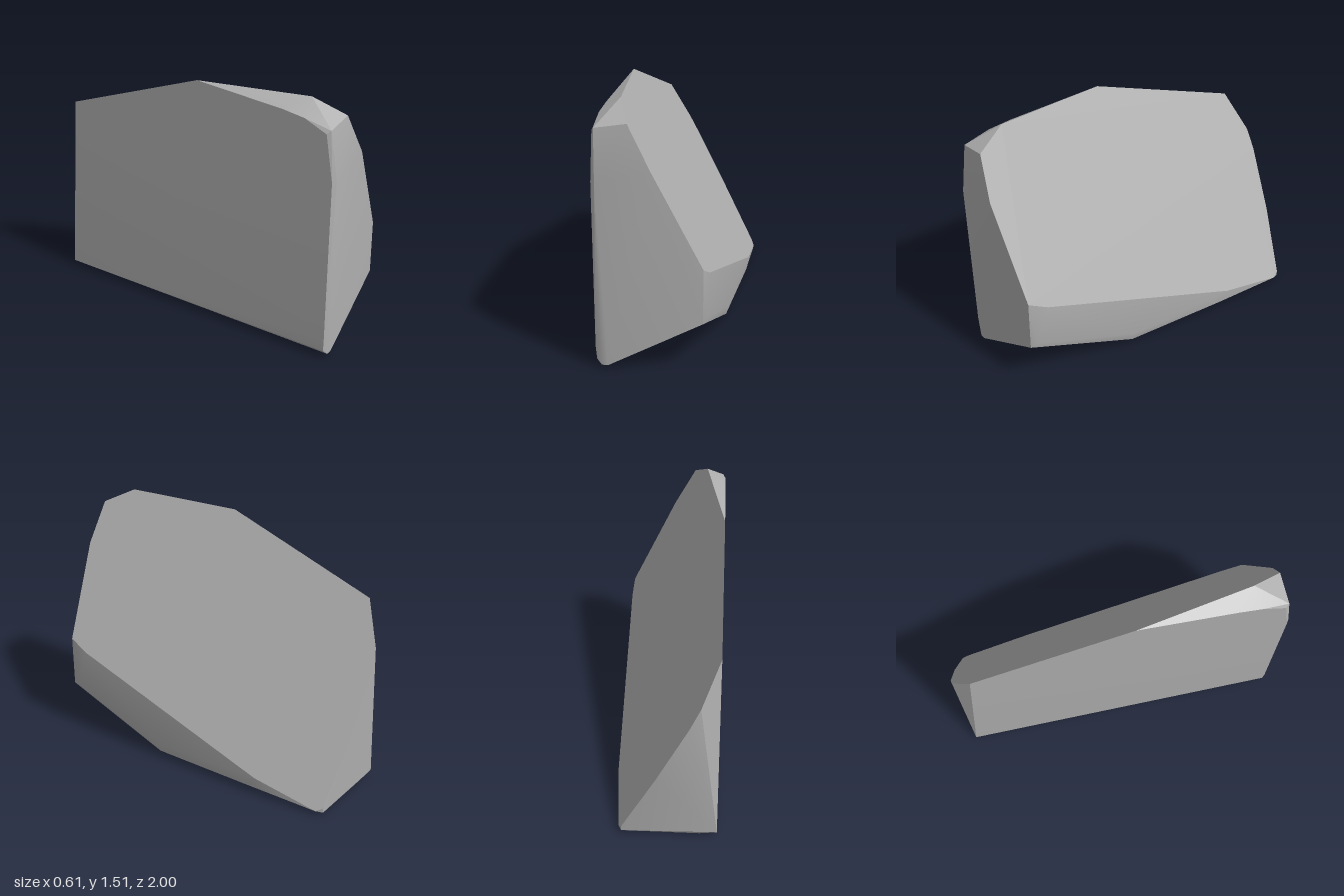
import * as THREE from 'three';
import { ConvexGeometry } from 'three/addons/geometries/ConvexGeometry.js';
import { toCreasedNormals } from 'three/addons/utils/BufferGeometryUtils.js';

// Height of the large sloping plane at a given x, z
const slopeY = (x, z) => 1.42 - 1.95 * (x + 0.11) + 0.352 * (z - 0.95);

export function createModel() {
  const group = new THREE.Group();
  group.name = 'boulder';
  const stone = new THREE.MeshStandardMaterial({ color: 0xb0b0b0 });
  stone.name = 'grey stone';

  // Rim of the sloping face, as x, z pairs
  const slopeRim = [
    [-0.11, 0.95], [-0.19, 0.77], [-0.305, 0.08], [-0.305, -0.87],
    [-0.2, -0.985], [-0.14, -1.0], [0.05, -0.99], [0.25, -0.95],
    [0.27, -0.91], [0.3, -0.5], [0.305, 0.8], [0.295, 0.92], [0.02, 0.975],
  ].map(([x, z]) => [x, slopeY(x, z), z]);

  // Flat side, upper and front corners
  const sideAndFront = [
    [-0.305, 1.45, 0.66], [-0.305, 1.43, 0.8], [-0.305, 1.37, 0.94],
    [-0.29, 1.39, 0.96], [-0.305, 1.1, 0.985], [-0.28, 1.1, 1.0],
    [-0.305, 0.13, 0.975], [-0.3, 0.05, 0.97], [-0.27, 0.02, 0.98],
    [-0.235, 0.02, 0.98], [0.292, 0.3, 0.92], [0.305, 0.32, 0.88],
  ];

  // Underside and its worn edges
  const underside = [
    [-0.21, 0, 0.87], [0.16, 0, 0.28], [0.26, 0.01, 0.2],
    [0.29, 0.035, 0.22], [0.305, 0.09, 0.22], [0.295, 0.04, -0.45],
    [0.2, 0, -0.55], [0.25, 0.02, -0.95], [-0.2, 0.005, -0.94],
    [-0.3, 0.03, -0.955],
  ];

  const points = [...slopeRim, ...sideAndFront, ...underside]
    .map((p) => new THREE.Vector3(...p));
  const rock = new THREE.Mesh(
    toCreasedNormals(new ConvexGeometry(points), 0.45), stone);
  rock.name = 'rock';
  group.add(rock);
  return group;
}
